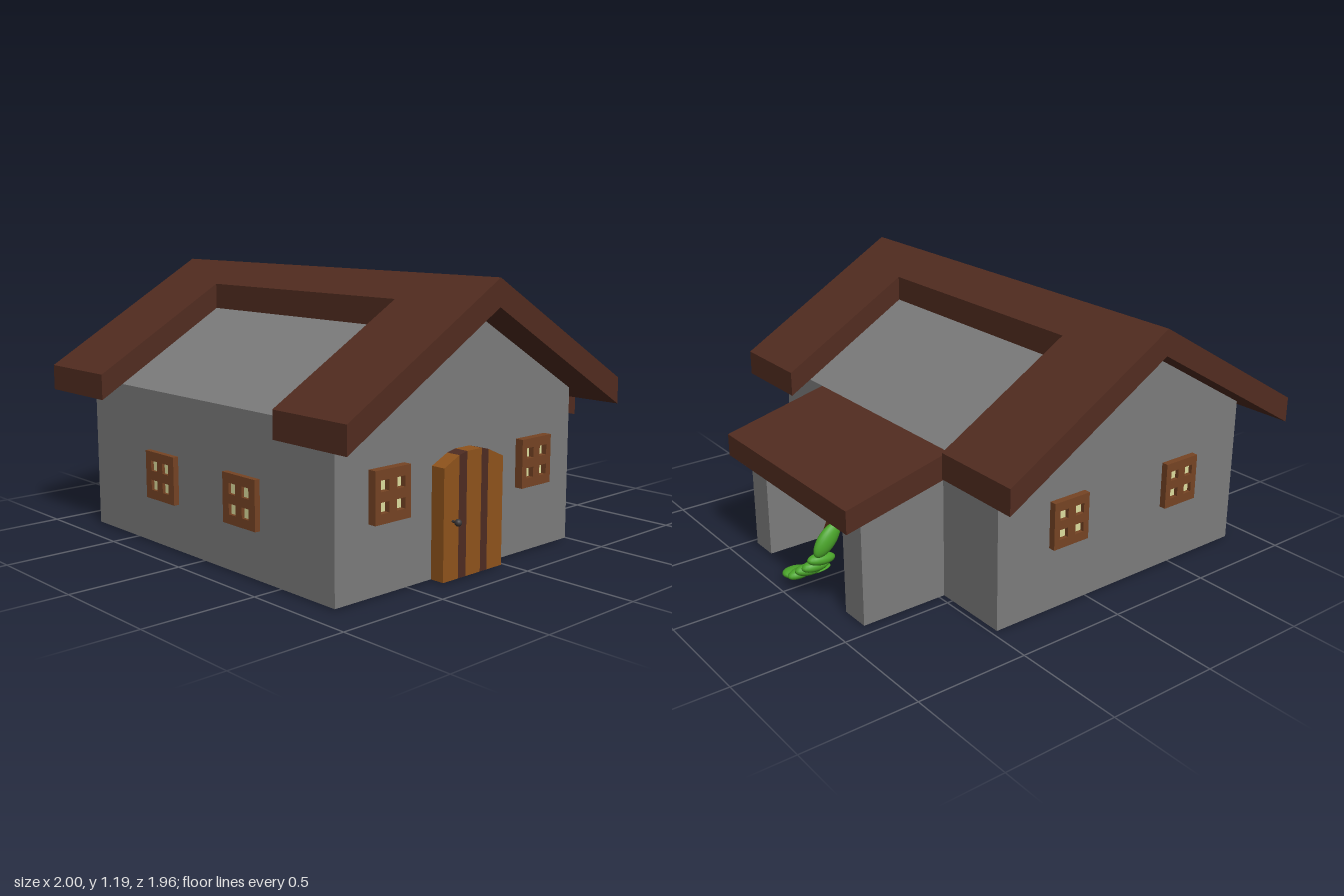
import * as THREE from 'three';

const paint = (color) => new THREE.MeshStandardMaterial({ color });
const WALL = paint(0x7c7c7c), ROOF = paint(0x522c20), FRAME = paint(0x764424), GLASS = paint(0xdede9f);
const DOOR = paint(0x8f531c), STRIPE = paint(0x4e2c22), METAL = paint(0x3a3636);
const LEAF = paint(0x4aa52a), BARK = paint(0x743f22);

const mesh = (name, geometry, material) => {
  const m = new THREE.Mesh(geometry, material);
  m.name = name;
  return m;
};

// Side profile given as [z, y] points, swept along x from x0 to x1
function sweep(name, profile, x0, x1, material) {
  const shape = new THREE.Shape(profile.map(([z, y]) => new THREE.Vector2(-z, y)));
  const geo = new THREE.ExtrudeGeometry(shape, { depth: x1 - x0, bevelEnabled: false });
  geo.rotateY(Math.PI / 2).translate(x0, 0, 0);
  return mesh(name, geo, material);
}

// Gabled roof band covering z from back to front, ridge at z = 0.2
function roofBand(name, x0, x1, back, front) {
  const ridge = 1.188, t = 0.112;
  const top = (z) => ridge - 0.588 * Math.abs(z - 0.2);
  return sweep(name, [
    [front, top(front)], [0.2, ridge], [back, top(back)],
    [back, top(back) - t], [0.2, ridge - t], [front, top(front) - t],
  ], x0, x1, ROOF);
}

// Four-pane window facing +z, standing on the plane z = 0
function makeWindow(width, height, depth) {
  const g = new THREE.Group();
  g.name = 'window';
  const w = width / 2, h = height / 2, p = 0.022, c = 0.042;
  const shape = new THREE.Shape([[-w, -h], [w, -h], [w, h], [-w, h]].map((a) => new THREE.Vector2(...a)));
  for (const x of [-c, c]) for (const y of [-c, c]) {
    shape.holes.push(new THREE.Path([
      [x - p, y - p], [x - p, y + p], [x + p, y + p], [x + p, y - p],
    ].map((a) => new THREE.Vector2(...a))));
  }
  g.add(mesh('windowFrame', new THREE.ExtrudeGeometry(shape, { depth, bevelEnabled: false }), FRAME));
  const glass = mesh('windowPanes', new THREE.BoxGeometry(0.14, 0.14, 0.012), GLASS);
  glass.position.z = 0.006;
  g.add(glass);
  return g;
}

function makeDoor() {
  const g = new THREE.Group();
  g.name = 'door';
  // Height of the arched top at each plank edge, front to back
  const edges = [[0.375, 0.462], [0.29, 0.502], [0.245, 0.512], [0.16, 0.512], [0.12, 0.502], [0.03, 0.462]];
  for (let i = 0; i < edges.length - 1; i++) {
    const [za, ya] = edges[i], [zb, yb] = edges[i + 1];
    g.add(sweep('doorPlank', [[za, 0.006], [zb, 0.006], [zb, yb], [za, ya]], 0.815, 0.885, i % 2 ? STRIPE : DOOR));
  }
  const stem = mesh('knobStem', new THREE.CylinderGeometry(0.005, 0.005, 0.04, 10), METAL);
  stem.rotation.z = Math.PI / 2;
  stem.position.set(0.9, 0.245, 0.325);
  const knob = mesh('doorKnob', new THREE.SphereGeometry(0.015, 16, 12), METAL);
  knob.position.set(0.915, 0.245, 0.325);
  g.add(stem, knob);
  return g;
}

// Round stick through a few points
function stick(name, points, radius, material) {
  const curve = new THREE.CatmullRomCurve3(points.map((p) => new THREE.Vector3(...p)));
  return mesh(name, new THREE.TubeGeometry(curve, 12, radius, 8), material);
}

function makePlant() {
  const g = new THREE.Group();
  g.name = 'plant';
  g.add(stick('plantStem', [[0.08, 0.015, -0.82], [0.02, 0.04, -0.89], [-0.1, 0.13, -0.9], [-0.21, 0.3, -0.88]], 0.014, LEAF));
  // Leaves: centre, half sizes, tilt about x
  const leaves = [
    [0.08, 0.008, -0.8, 0.04, 0.008, 0.08, 0],
    [0.05, 0.042, -0.905, 0.045, 0.024, 0.065, 0.1],
    [-0.01, 0.07, -0.915, 0.03, 0.024, 0.063, -0.1],
    [-0.08, 0.115, -0.915, 0.03, 0.026, 0.065, 0.1],
    [-0.14, 0.16, -0.915, 0.03, 0.026, 0.065, 0],
    [-0.19, 0.212, -0.915, 0.03, 0.026, 0.065, 0.1],
    [-0.21, 0.3, -0.895, 0.028, 0.042, 0.085, -0.85],
  ];
  for (const [x, y, z, a, b, c, tilt] of leaves) {
    const leaf = mesh('leaf', new THREE.SphereGeometry(1, 18, 12), LEAF);
    leaf.scale.set(a, b, c);
    leaf.position.set(x, y, z);
    leaf.rotation.x = tilt;
    g.add(leaf);
  }
  return g;
}

export function createModel() {
  const house = new THREE.Group();
  house.name = 'cottage';

  // Main block with gable ends
  house.add(sweep('houseWalls', [[-0.48, 0.006], [-0.48, 0.676], [0.2, 1.076], [0.88, 0.676], [0.88, 0.006]], -0.806, 0.82, WALL));

  // Roof: a full band at each end, a narrow one along the ridge between
  house.add(roofBand('leftRoof', 0.6, 1, -0.58, 0.983));
  house.add(roofBand('rightRoof', -1, -0.58, -0.58, 0.983));
  house.add(roofBand('ridgeRoof', -0.58, 0.6, 0.03, 0.363));

  // Lean-to at the back, open between its two side walls
  const side = [[-0.48, 0.006], [-0.88, 0.006], [-0.88, 0.476], [-0.48, 0.566]];
  house.add(sweep('leanToWall', side, 0.325, 0.455, WALL));
  house.add(sweep('leanToWall', side, -0.45, -0.312, WALL));
  house.add(sweep('leanToAlcove', [
    [-0.48, 0.006], [-0.51, 0.006], [-0.51, 0.456], [-0.88, 0.456], [-0.88, 0.476], [-0.48, 0.566],
  ], -0.312, 0.325, WALL));
  house.add(sweep('leanToRoof', [[-0.48, 0.566], [-0.967, 0.456], [-0.967, 0.556], [-0.48, 0.676]], -0.487, 0.492, ROOF));

  // Windows: x, y, z, turn, width, depth
  const windows = [
    [-0.266, 0.312, 0.88, 0, 0.207, 0.025], [0.284, 0.312, 0.88, 0, 0.207, 0.025],
    [0.82, 0.396, 0.62, 1, 0.185, 0.037], [0.82, 0.396, -0.22, 1, 0.185, 0.037],
    [-0.806, 0.396, 0.515, -1, 0.185, 0.03], [-0.806, 0.396, -0.12, -1, 0.185, 0.03],
  ];
  for (const [x, y, z, turn, width, depth] of windows) {
    const w = makeWindow(width, 0.207, depth);
    w.position.set(x, y, z);
    w.rotation.y = turn * Math.PI / 2;
    house.add(w);
  }

  house.add(makeDoor());

  // Leaning branches and a plant in the lean-to
  house.add(stick('branch', [[0.26, 0.018, -0.655], [0.1, 0.24, -0.68], [-0.09, 0.45, -0.68]], 0.012, BARK));
  house.add(stick('branch', [[0.23, 0.018, -0.69], [0.03, 0.2, -0.68], [-0.22, 0.44, -0.7]], 0.012, BARK));
  house.add(stick('twig', [[0.1, 0.24, -0.68], [0.04, 0.3, -0.72], [0.02, 0.42, -0.73]], 0.008, BARK));
  house.add(makePlant());

  return house;
}
